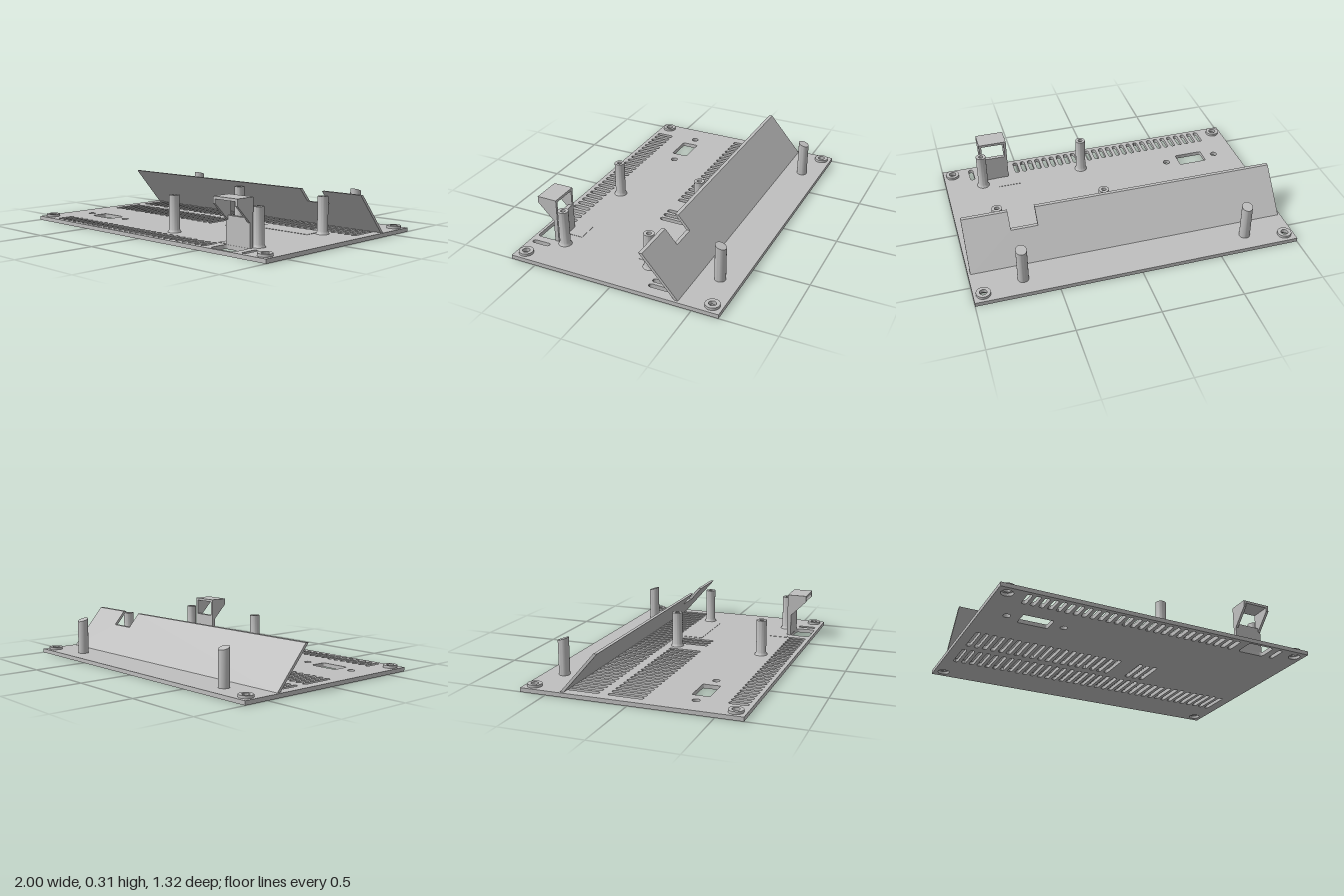
import * as THREE from 'three';
import { toCreasedNormals } from 'three/addons/utils/BufferGeometryUtils.js';

const T = 0.025; // base plate thickness

export function createModel() {
  const group = new THREE.Group();
  const grey = new THREE.MeshStandardMaterial({ color: 0xbfbfbf });
  grey.name = 'plastic grey';

  const add = (name, geo, x = 0, y = 0, z = 0) => {
    const m = new THREE.Mesh(geo, grey);
    m.name = name;
    m.position.set(x, y, z);
    group.add(m);
    return m;
  };
  const box = (name, x0, x1, y0, y1, z0, z1) =>
    add(name, new THREE.BoxGeometry(x1 - x0, y1 - y0, z1 - z0), (x0 + x1) / 2, (y0 + y1) / 2, (z0 + z1) / 2);
  const lathe = (pts) => toCreasedNormals(
    new THREE.LatheGeometry(pts.map(([r, y]) => new THREE.Vector2(r, y)), 32), 0.5);
  const polygon = (pts) => new THREE.Shape(pts.map(([x, y]) => new THREE.Vector2(x, y)));

  // Base plate with its cut-outs (shape y is -z)
  const plate = polygon([[-1, -0.66], [1, -0.66], [1, 0.66], [-1, 0.66]]);
  const roundHole = (x, z, r) => {
    const p = new THREE.Path();
    p.absarc(x, -z, r, 0, Math.PI * 2, true);
    plate.holes.push(p);
  };
  const rectHole = (x0, x1, z0, z1, r) => {
    const p = new THREE.Path();
    p.absarc(x0 + r, -z0 - r, r, Math.PI, Math.PI / 2, true);
    p.absarc(x1 - r, -z0 - r, r, Math.PI / 2, 0, true);
    p.absarc(x1 - r, -z1 + r, r, 0, -Math.PI / 2, true);
    p.absarc(x0 + r, -z1 + r, r, -Math.PI / 2, -Math.PI, true);
    plate.holes.push(p);
  };

  // Three rows of ventilation slots on one common pitch
  for (let i = 0; i < 37; i++) {
    const x = -0.922 + i * 0.0511;
    const slot = (z0, z1) => rectHole(x - 0.0145, x + 0.0145, z0, z1, 0.0143);
    slot(-0.405, -0.2);
    if (i < 19 || (i > 20 && i < 24)) slot(-0.147, 0.066);
    if ((i > 1 && i < 29) || i === 34) slot(0.52, 0.635);
  }

  // Socket opening, its screw holes and the opening by the clip
  rectHole(-0.77, -0.585, 0.29, 0.397, 0.008);
  roundHole(-0.85, 0.343, 0.022);
  roundHole(-0.502, 0.343, 0.022);
  rectHole(0.58, 0.755, 0.517, 0.642, 0.02);

  // Corner screw bosses, counterbored from below
  const boss = lathe([
    [0.022, 0.018], [0.036, 0.018], [0.043, 0.02], [0.043, 0.041],
    [0.022, 0.041], [0.022, 0.018],
  ]);
  for (const x of [-0.94, 0.94]) {
    for (const z of [-0.598, 0.598]) {
      roundHole(x, z, 0.036);
      add('cornerBoss', boss, x, 0, z);
    }
  }

  const plateGeo = new THREE.ExtrudeGeometry(plate, { depth: T, bevelEnabled: false, curveSegments: 8 });
  plateGeo.rotateX(-Math.PI / 2);
  add('basePlate', toCreasedNormals(plateGeo, 0.5));

  // Hollow screw standoffs with flared feet
  const standoff = lathe([
    [0.042, T - 0.002], [0.038, 0.03], [0.032, 0.042], [0.032, 0.25],
    [0.014, 0.25], [0.014, 0.15], [0, 0.15],
  ]);
  for (const x of [0.085, 0.757]) {
    for (const z of [-0.123, 0.445]) add('standoff', standoff, x, 0, z);
  }

  // Rear posts with slanted tops
  const postGeo = new THREE.CylinderGeometry(0.033, 0.033, 0.225, 32);
  postGeo.translate(0, 0.1325, 0);
  const pp = postGeo.attributes.position;
  for (let i = 0; i < pp.count; i++) {
    if (pp.getY(i) > 0.1) pp.setY(i, 0.245 + 0.32 * pp.getZ(i));
  }
  const post = toCreasedNormals(postGeo, 0.5);
  for (const x of [-0.7, 0.695]) add('rearPost', post, x, 0, -0.536);

  // Sloping baffle with a notch, sheared forward toward its top
  const baffle = polygon([
    [-0.985, 0.02], [0.985, 0.02], [0.985, 0.27], [0.705, 0.27],
    [0.705, 0.185], [0.54, 0.185], [0.54, 0.27], [-0.985, 0.27],
  ]);
  const baffleGeo = new THREE.ExtrudeGeometry(baffle, { depth: 0.022, bevelEnabled: false });
  const bp = baffleGeo.attributes.position;
  for (let i = 0; i < bp.count; i++) {
    bp.setZ(i, bp.getZ(i) - 0.2 + (bp.getY(i) - 0.27) * 0.87);
  }
  baffleGeo.computeVertexNormals();
  add('slopingBaffle', baffleGeo);

  // Clip: upright wall, two wedge cheeks and a top, open in the middle
  box('clipWall', 0.578, 0.758, T - 0.003, 0.19, 0.49, 0.515);
  const cheek = new THREE.ExtrudeGeometry(
    polygon([[0.49, 0.19], [0.515, 0.165], [0.615, 0.265], [0.615, 0.305], [0.49, 0.305]]),
    { depth: 0.016, bevelEnabled: false });
  cheek.rotateY(-Math.PI / 2);
  add('clipCheek', cheek, 0.594, 0, 0);
  add('clipCheek', cheek, 0.758, 0, 0);
  box('clipTop', 0.578, 0.758, 0.289, 0.305, 0.49, 0.615);

  // Thin flat pads on the plate
  box('rearPad', 0.3, 0.715, T - 0.002, T + 0.002, -0.18, -0.03);
  box('frontPad', 0.51, 0.66, T - 0.002, T + 0.002, 0.39, 0.505);

  return group;
}
